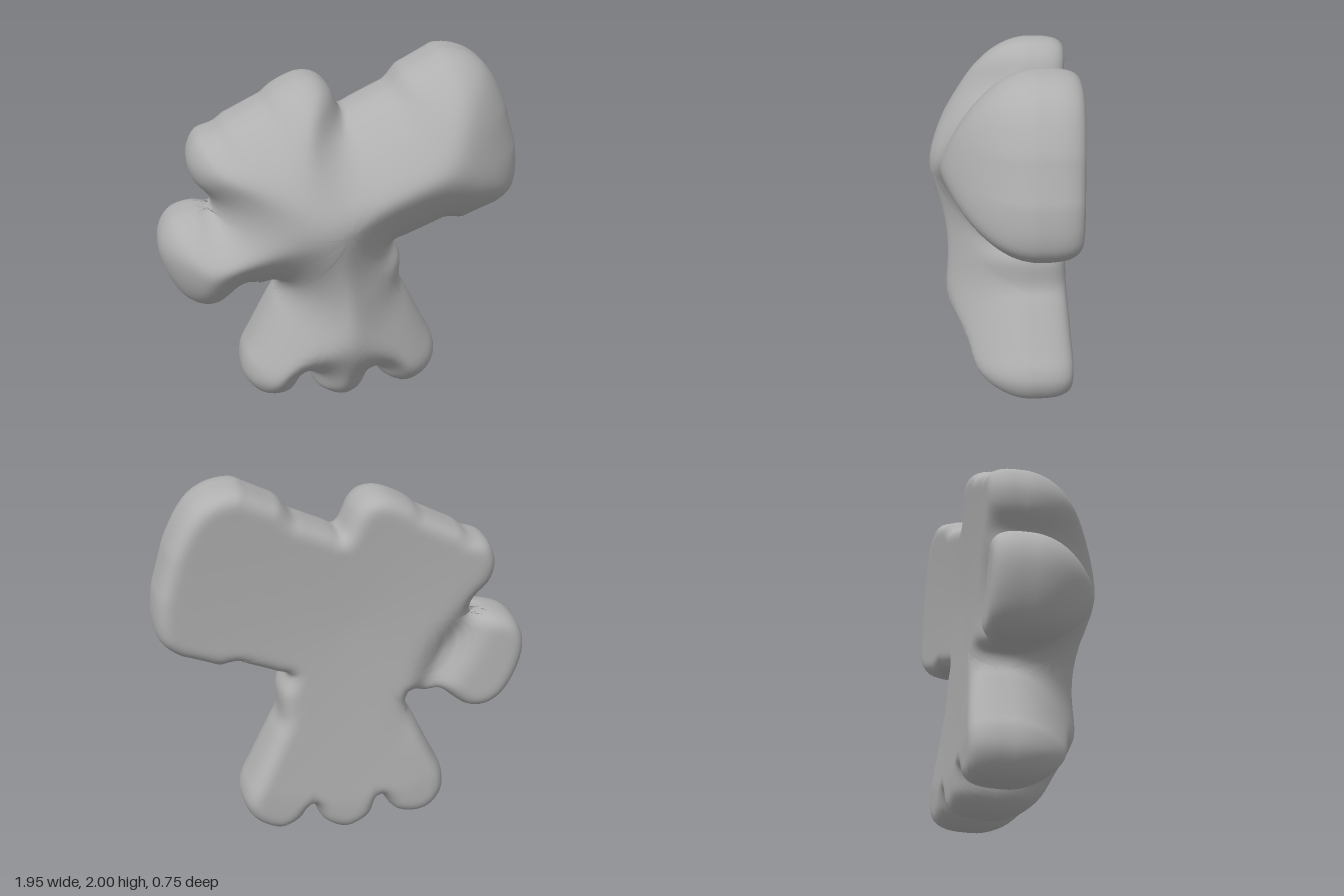
import * as THREE from 'three';
import { mergeVertices } from 'three/addons/utils/BufferGeometryUtils.js';

// Lobed silhouette, counter-clockwise from the big lobe
const OUTLINE = [
  // big upper lobe
  [0.975, 1.3], [0.965, 1.47], [0.9, 1.7], [0.82, 1.86], [0.75, 1.94], [0.65, 1.99], [0.53, 2.0], [0.33, 1.9], [0.26, 1.82],
  // top lobe
  [0.02, 1.71], [-0.05, 1.84], [-0.11, 1.89], [-0.2, 1.9], [-0.34, 1.84], [-0.4, 1.79], [-0.6, 1.69], [-0.65, 1.65],
  [-0.75, 1.61], [-0.8, 1.5], [-0.78, 1.39], [-0.69, 1.27],
  // side lobe
  [-0.69, 1.21], [-0.78, 1.21], [-0.9, 1.17], [-0.96, 1.09], [-0.975, 0.99], [-0.93, 0.83], [-0.85, 0.71], [-0.75, 0.66],
  [-0.66, 0.67], [-0.6, 0.71], [-0.52, 0.77], [-0.45, 0.76], [-0.36, 0.77], [-0.345, 0.71],
  // three lower lobes
  [-0.545, 0.3], [-0.55, 0.18], [-0.48, 0.08], [-0.38, 0.05], [-0.27, 0.08], [-0.19, 0.18], [-0.14, 0.07], [0, 0.005],
  [0.12, 0.06], [0.185, 0.17], [0.24, 0.1], [0.36, 0.05], [0.5, 0.12], [0.55, 0.22], [0.54, 0.3],
  // waist and underside of the big lobe
  [0.345, 0.7], [0.34, 0.86], [0.3, 0.95], [0.57, 1.06], [0.66, 1.05], [0.86, 1.13], [0.95, 1.21],
];
const CENTRE = new THREE.Vector2(-0.02, 1.2);
const RIM_Z = -0.15;
const SIDES = 360, RINGS = 26;

// Closed curve through the outline; long spans get two extra points to stay straight
function silhouette() {
  const points = [];
  OUTLINE.forEach(([x, y], i) => {
    const a = new THREE.Vector3(x, y, 0);
    const b = new THREE.Vector3(...OUTLINE[(i + 1) % OUTLINE.length], 0);
    points.push(a);
    if (a.distanceTo(b) > 0.2) points.push(a.clone().lerp(b, 0.2), a.clone().lerp(b, 0.8));
  });
  const curve = new THREE.CatmullRomCurve3(points, true, 'centripetal');
  curve.arcLengthDivisions = 3000;
  return curve;
}

function lobedBody() {
  const curve = silhouette();
  const rim = curve.getSpacedPoints(SIDES).slice(0, SIDES);
  const step = curve.getLength() / SIDES;

  // Distance to the silhouette: exact near it, softened inside so ridges stay rounded
  const edgeDistance = (x, y) => {
    let sum = 0, nearest = Infinity;
    rim.forEach((p, i) => {
      const q = rim[(i + 1) % SIDES];
      const ex = q.x - p.x, ey = q.y - p.y, px = x - p.x, py = y - p.y;
      const t = THREE.MathUtils.clamp((px * ex + py * ey) / (ex * ex + ey * ey), 0, 1);
      nearest = Math.min(nearest, Math.hypot(px - ex * t, py - ey * t));
      sum += step / Math.max(px * px + py * py, 1e-10) ** 4;
    });
    const soft = (sum / 0.982) ** (-1 / 7);
    return THREE.MathUtils.lerp(nearest, soft, THREE.MathUtils.smoothstep(nearest, 0.025, 0.09));
  };
  // Front swells with distance from the edge
  const frontZ = (x, y, d) => RIM_Z + 0.77 * Math.sqrt(d);
  // Back is slightly hollow with a rounded edge and a groove at the side lobe's neck
  const backZ = (x, y, d) => {
    const u = 1 - Math.min(d / 0.11, 1);
    const across = 0.867 * (x + 0.555) + 0.498 * (y - 1.005);
    const along = -0.498 * (x + 0.555) + 0.867 * (y - 1.005);
    const groove = 0.08 * Math.exp(-((across / 0.08) ** 2) - (along / 0.3) ** 2);
    const reach = Math.min(1, Math.hypot(x - CENTRE.x, y - CENTRE.y));
    return RIM_Z - (0.155 + 0.06 * reach ** 1.5 - groove) * Math.cbrt(1 - u ** 3);
  };

  // Rings run from the front centre, over the rim, to the back centre
  const positions = [], index = [];
  for (let k = 0; k <= 2 * RINGS; k++) {
    const s = k <= RINGS ? k / RINGS : 2 - k / RINGS;
    const t = 1 - (1 - s) ** 2;
    for (const p of rim) {
      const x = CENTRE.x + (p.x - CENTRE.x) * t;
      const y = CENTRE.y + (p.y - CENTRE.y) * t;
      const d = k === RINGS ? 0 : edgeDistance(x, y);
      positions.push(x, y, (k <= RINGS ? frontZ : backZ)(x, y, d));
    }
  }
  for (let k = 0; k < 2 * RINGS; k++) {
    for (let i = 0; i < SIDES; i++) {
      const j = (i + 1) % SIDES;
      const a = k * SIDES + i, b = k * SIDES + j;
      const c = a + SIDES, e = b + SIDES;
      if (k === 0) index.push(a, c, e);
      else if (k === 2 * RINGS - 1) index.push(a, c, b);
      else index.push(a, c, b, b, c, e);
    }
  }
  const raw = new THREE.BufferGeometry();
  raw.setAttribute('position', new THREE.Float32BufferAttribute(positions, 3));
  raw.setIndex(index);
  const geometry = mergeVertices(raw, 1e-5);
  geometry.computeVertexNormals();
  return geometry;
}

export function createModel() {
  const group = new THREE.Group();
  group.name = 'lobedShape';
  const grey = new THREE.MeshStandardMaterial({ color: 0xb0b0b0 });
  grey.name = 'plain grey';
  const body = new THREE.Mesh(lobedBody(), grey);
  body.name = 'lobedBody';
  group.add(body);
  return group;
}
